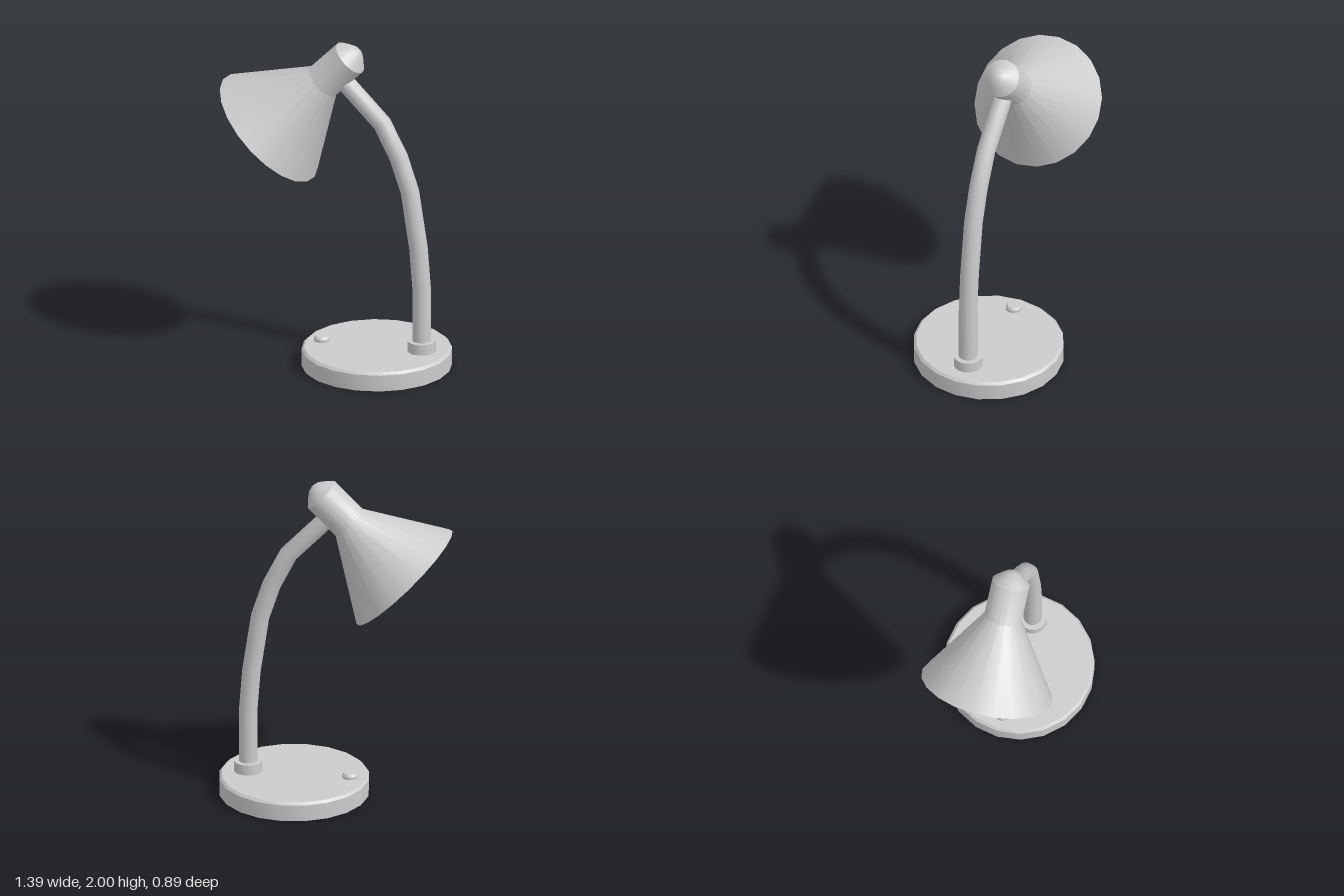
import * as THREE from 'three';
import { toCreasedNormals } from 'three/addons/utils/BufferGeometryUtils.js';

const material = new THREE.MeshStandardMaterial({ color: 0xcccccc, side: THREE.DoubleSide });

function addMesh(group, name, geometry, x = 0, y = 0) {
  const mesh = new THREE.Mesh(geometry, material);
  mesh.name = name;
  mesh.position.set(x, y, 0);
  group.add(mesh);
  return mesh;
}

// Turned part from [radius, height] pairs, smooth around, crisp at hard edges
function turned(profile, sides = 20) {
  const points = profile.map(([r, y]) => new THREE.Vector2(r, y));
  return toCreasedNormals(new THREE.LatheGeometry(points, sides), 0.55);
}

export function createModel() {
  const lamp = new THREE.Group();
  lamp.name = 'deskLamp';

  // Weighted base with a small bevel
  addMesh(lamp, 'base', turned([[0, 0], [0.445, 0], [0.445, 0.1], [0.43, 0.115], [0, 0.115]]), 0.245);

  // Switch button and arm collar on the base
  addMesh(lamp, 'switchButton', turned([[0.047, 0], [0.047, 0.018], [0.037, 0.031], [0, 0.031]], 16), -0.09, 0.114);
  addMesh(lamp, 'armCollar', turned([[0.085, 0], [0.085, 0.066], [0, 0.066]]), 0.52, 0.114);

  // Curved arm, one ring of the tube per path point
  const path = [
    [0.52, 0.12], [0.52, 0.5], [0.5, 0.76], [0.448, 1.11],
    [0.38, 1.32], [0.278, 1.525], [0.05, 1.765],
  ].map(([x, y]) => new THREE.Vector3(x, y, 0));
  const curve = new THREE.CatmullRomCurve3(path);
  curve.getPointAt = curve.getPoint;
  curve.getTangentAt = curve.getTangent;
  addMesh(lamp, 'arm', new THREE.TubeGeometry(curve, path.length - 1, 0.055, 16));

  // Tilted head: inner shade wall, rim, outer cone, neck and domed cap
  const head = addMesh(lamp, 'shadeAndNeck', turned([
    [0, -0.015], [0.108, -0.015], [0.39, -0.467],
    [0.396, -0.467], [0.113, 0], [0.113, 0.235],
    [0.075, 0.272], [0.04, 0.3], [0, 0.312],
  ]), -0.085, 1.755);
  head.rotation.z = -Math.PI / 4;

  return lamp;
}
